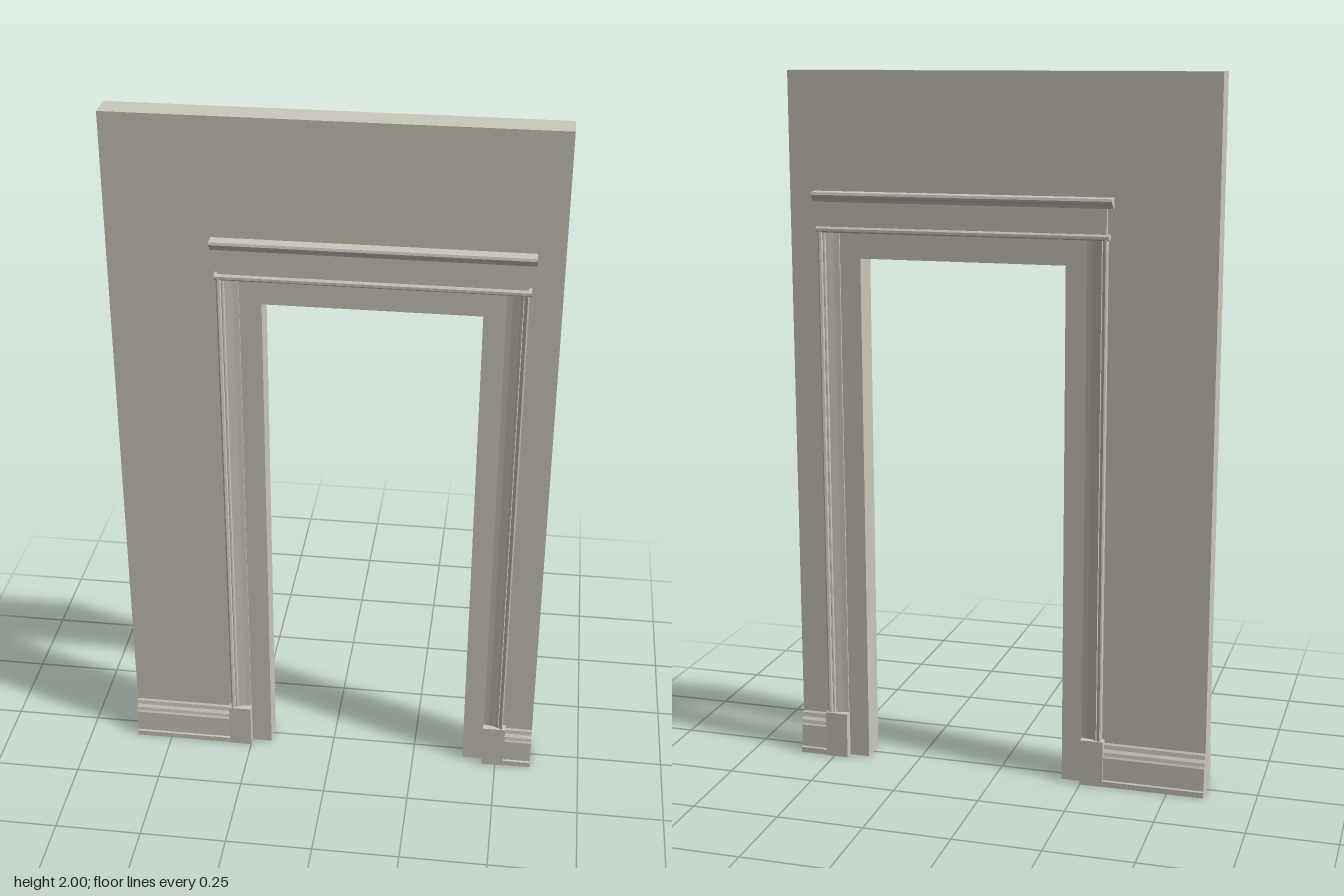
import * as THREE from 'three';

const DOOR_X = 0.105;      // centre line of the doorway
const HALF_W = 0.605;      // half width of the wall
const WALL_Z = 0.04;       // half thickness of the wall

const shapeOf = pts => new THREE.Shape(pts.map(p => new THREE.Vector2(p[0], p[1])));
const extrude = (pts, depth) =>
  new THREE.ExtrudeGeometry(shapeOf(pts), { depth, bevelEnabled: false });

// Moulding running along x from a [z, y] profile
function mouldingX(profile, x0, x1) {
  const geo = extrude(profile.map(([z, y]) => [-z, y]), x1 - x0);
  return geo.rotateY(Math.PI / 2).translate(x0, 0, 0);
}

// Moulding standing along y from an [x, z] profile
function mouldingY(profile, y0, y1) {
  const geo = extrude(profile.map(([x, z]) => [x, -z]), y1 - y0);
  return geo.rotateX(-Math.PI / 2).translate(0, y0, 0);
}

export function createModel() {
  const plaster = new THREE.MeshStandardMaterial({ color: 0xcbc7ba });
  plaster.name = 'warm grey plaster';
  const model = new THREE.Group();
  model.name = 'doorwayWall';

  const add = (parent, name, geo) => {
    const mesh = new THREE.Mesh(geo, plaster);
    mesh.name = name;
    parent.add(mesh);
  };

  // Wall with the doorway cut up from the floor
  const wall = extrude([
    [-HALF_W, 0], [-0.19, 0], [-0.19, 1.485], [0.4, 1.485],
    [0.4, 0], [HALF_W, 0], [HALF_W, 2], [-HALF_W, 2],
  ], WALL_Z * 2);
  add(model, 'wall', wall.translate(0, 0, -WALL_Z));

  // Casing: beaded outer edge, groove, then a slope to the inner edge
  const casing = [
    [0.145, 0.035], [0.145, 0.044], [0.165, 0.047], [0.19, 0.052], [0.393, 0.052],
  ];
  casing.length = 0;
  casing.push(
    [0.355, 0.035], [0.355, 0.045], [0.37, 0.047], [0.392, 0.052], [0.394, 0.057],
    [0.398, 0.058], [0.4, 0.055], [0.403, 0.06], [0.409, 0.062], [0.413, 0.06], [0.413, 0.035],
  );
  const astragal = [
    [0.035, 1.557], [0.058, 1.557], [0.062, 1.561], [0.062, 1.568], [0.058, 1.573], [0.035, 1.573],
  ];
  const cornice = [
    [0.035, 1.642], [0.057, 1.642], [0.06, 1.65], [0.066, 1.655], [0.071, 1.656],
    [0.073, 1.662], [0.071, 1.669], [0.035, 1.671],
  ];
  const baseboard = [
    [0.035, 0], [0.063, 0], [0.063, 0.016], [0.059, 0.019], [0.057, 0.085],
    [0.054, 0.09], [0.052, 0.1], [0.046, 0.108], [0.044, 0.12], [0.04, 0.125], [0.035, 0.125],
  ];

  // The same trim on both faces, turned around the doorway's centre line
  for (const [face, turn] of [['front', 0], ['back', Math.PI]]) {
    const trim = new THREE.Group();
    trim.name = face + 'Trim';
    trim.position.x = DOOR_X;
    trim.rotation.y = turn;

    for (const [side, s] of [['Left', 1], ['Right', -1]]) {
      add(trim, 'casing' + side, mouldingY(casing.map(([x, z]) => [s * x, z]), 0.13, 1.56));
      const plinth = new THREE.BoxGeometry(0.066, 0.135, 0.03);
      add(trim, 'plinth' + side, plinth.translate(s * 0.387, 0.0675, 0.05));

      // Baseboard from the plinth to the end of the wall
      const wallEnd = HALF_W - s * DOOR_X * Math.cos(turn);
      const x0 = s > 0 ? 0.42 : -wallEnd;
      const x1 = s > 0 ? wallEnd : -0.42;
      add(trim, 'baseboard' + side, mouldingX(baseboard, x0, x1));
    }

    // Head: astragal, frieze and cornice
    add(trim, 'astragal', mouldingX(astragal, -0.418, 0.418));
    const frieze = new THREE.BoxGeometry(0.82, 0.08, 0.02);
    add(trim, 'frieze', frieze.translate(0, 1.605, 0.045));
    add(trim, 'cornice', mouldingX(cornice, -0.427, 0.427));
    model.add(trim);
  }
  return model;
}
